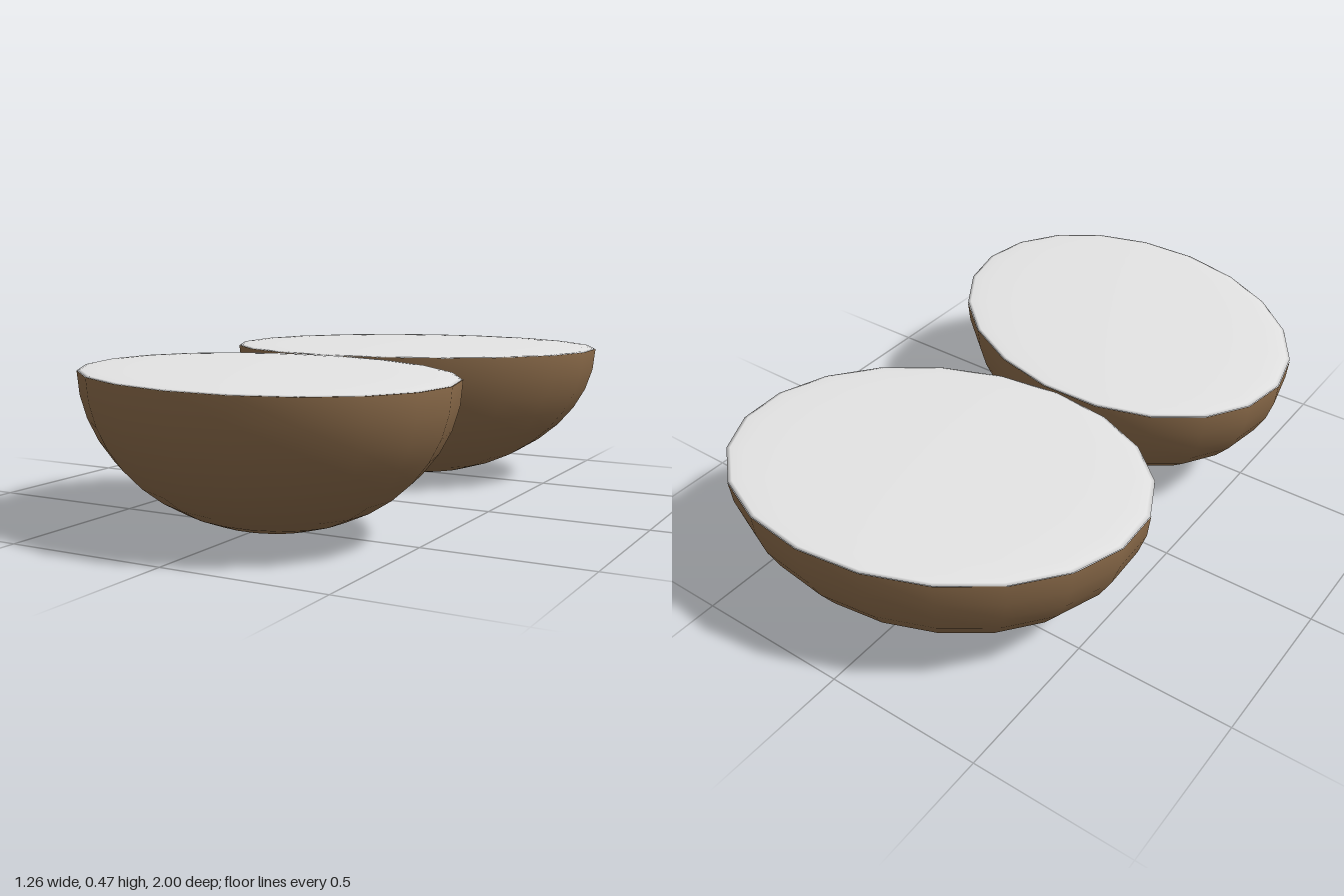
import * as THREE from 'three';

const shellBrown = new THREE.MeshStandardMaterial({ name: 'shellBrown', color: 0x8a6a49 });
const fleshWhite = new THREE.MeshStandardMaterial({ name: 'fleshWhite', color: 0xe4e4e4 });

const LENGTH = 0.641, WIDTH = 0.484, DEPTH = 0.457, DOME = 0.013;

// One nut half: an oval bowl closed by a barely domed cut face
function makeHalf(name, z, turn) {
  const half = new THREE.Group();
  half.name = name;

  const shellGeo = new THREE.SphereGeometry(1, 20, 10, 0, Math.PI * 2, Math.PI / 2, Math.PI / 2);
  shellGeo.scale(LENGTH, DEPTH, WIDTH);
  const shell = new THREE.Mesh(shellGeo, shellBrown);
  shell.name = 'shell';

  const fleshGeo = new THREE.SphereGeometry(1, 20, 8, 0, Math.PI * 2, 0, Math.PI / 2);
  fleshGeo.scale(LENGTH * 0.997, DOME, WIDTH * 0.997);
  const flesh = new THREE.Mesh(fleshGeo, fleshWhite);
  flesh.name = 'cutFace';

  half.add(shell, flesh);
  half.position.set(0, DEPTH, z);
  half.rotation.y = turn;
  return half;
}

export function createModel() {
  const model = new THREE.Group();
  model.name = 'nutHalves';
  model.add(
    makeHalf('backHalf', -0.504, 0.253),
    makeHalf('frontHalf', 0.498, -0.36),
  );
  return model;
}
